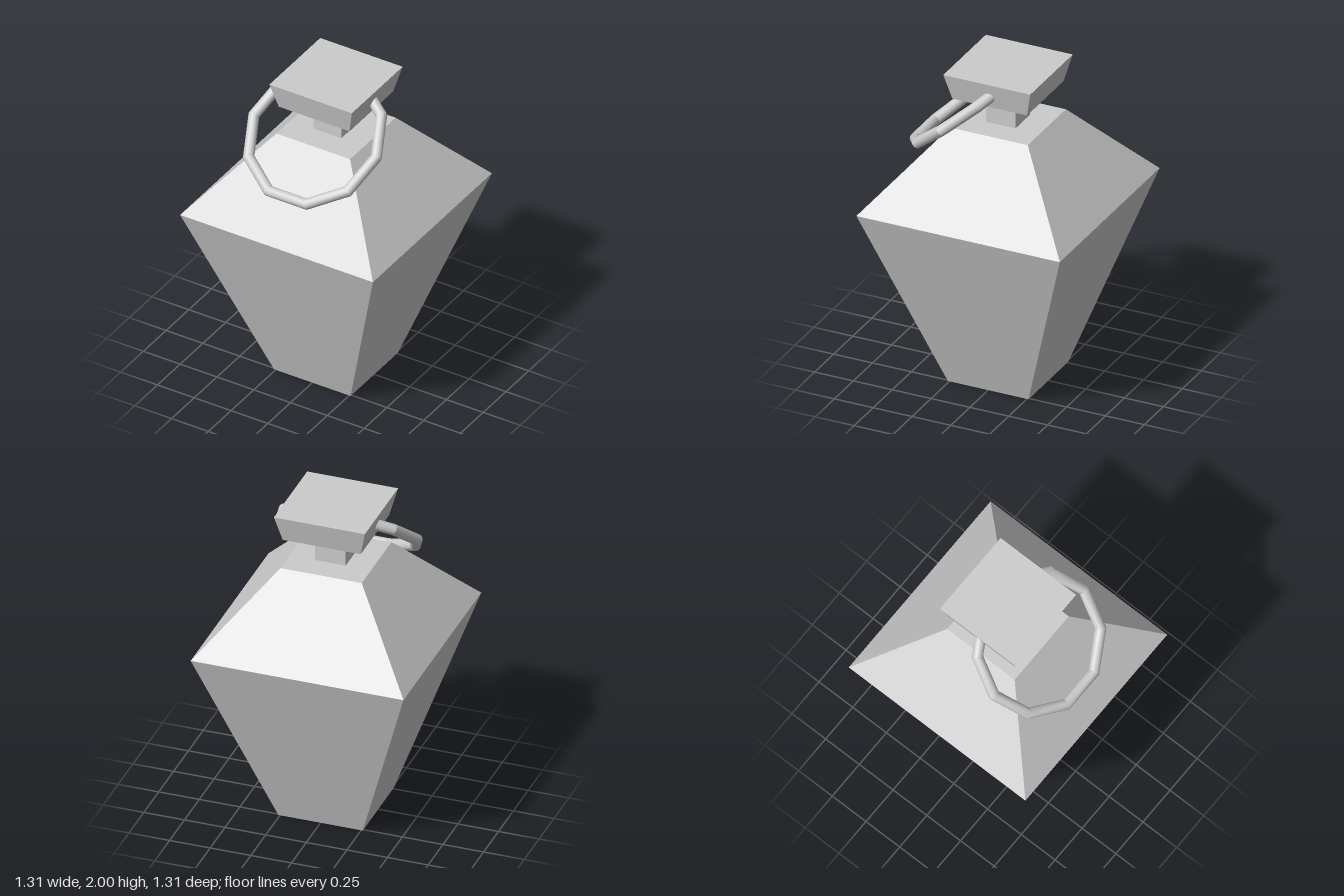
import * as THREE from 'three';
import { toCreasedNormals } from 'three/addons/utils/BufferGeometryUtils.js';

const flat = new THREE.MeshStandardMaterial({ color: 0xcccccc, flatShading: true });
const smooth = new THREE.MeshStandardMaterial({ color: 0xcccccc });

// Square tapered block between two heights, given half widths at each end
function taperedBlock(name, y0, half0, y1, half1) {
  const geometry = new THREE.CylinderGeometry(half1 * Math.SQRT2, half0 * Math.SQRT2, y1 - y0, 4);
  geometry.rotateY(Math.PI / 4);
  const mesh = new THREE.Mesh(geometry, flat);
  mesh.name = name;
  mesh.position.y = (y0 + y1) / 2;
  return mesh;
}

export function createModel() {
  const model = new THREE.Group();
  model.name = 'squareBottle';

  // Bottle and stopper, from the ground up
  model.add(
    taperedBlock('body', 0, 0.26, 1.17, 0.655),
    taperedBlock('shoulder', 1.17, 0.655, 1.65, 0.25),
    taperedBlock('neck', 1.65, 0.094, 1.836, 0.094),
    taperedBlock('stopper', 1.836, 0.24, 2, 0.28)
  );

  // Ten-sided ring threaded through the stopper and hanging forward
  const ring = new THREE.Mesh(
    toCreasedNormals(new THREE.TorusGeometry(0.415, 0.034, 16, 10), 0.5),
    smooth
  );
  ring.name = 'ring';
  ring.position.set(0, 1.71, 0.23);
  ring.rotation.x = -0.876;
  model.add(ring);

  return model;
}
